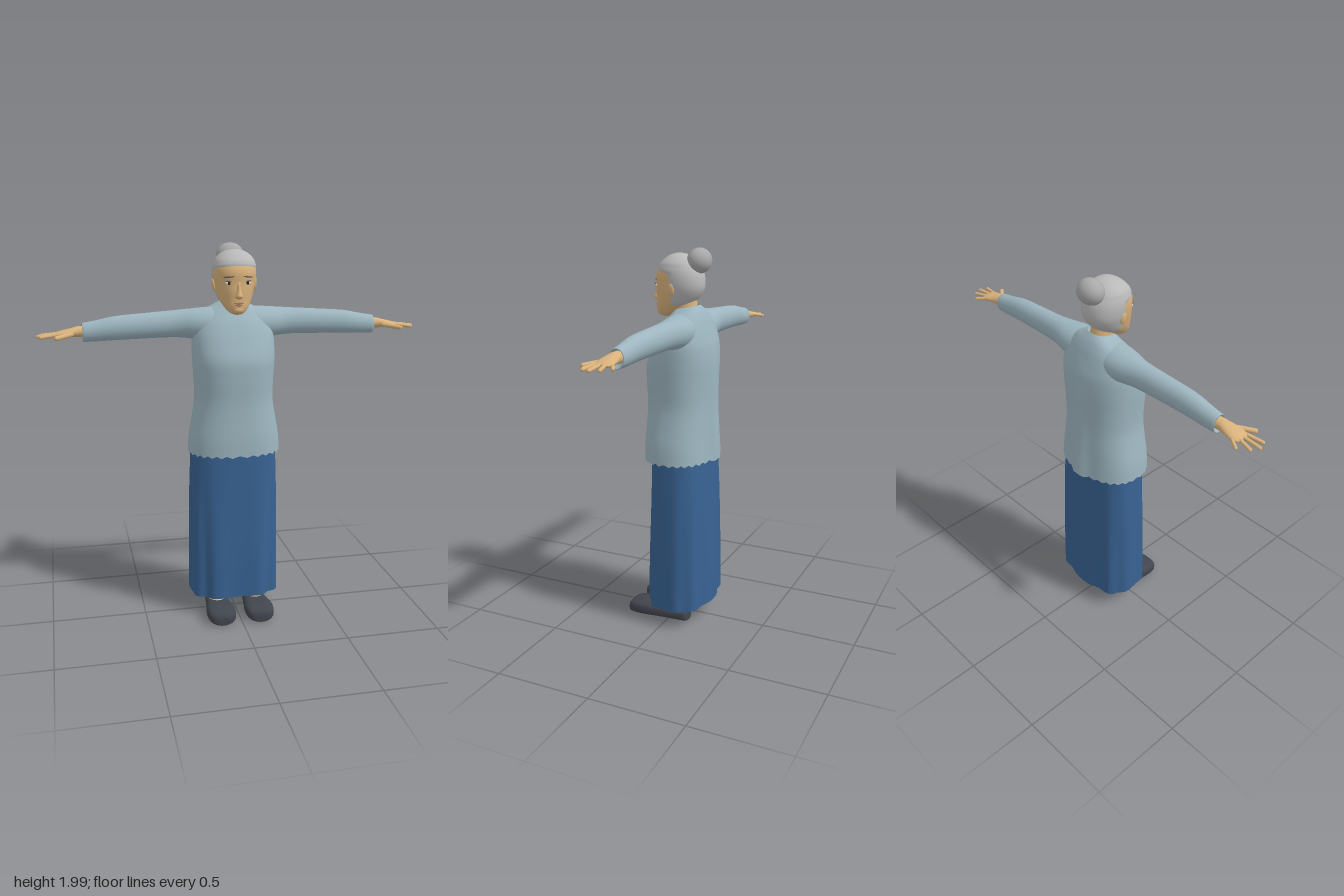
import * as THREE from 'three';

const paint = (color) => new THREE.MeshStandardMaterial({ color, side: THREE.DoubleSide });
const skin = paint(0xd9b27c), knit = paint(0x9db5bf), denim = paint(0x386292), inside = paint(0x1d2226);
const hairGrey = paint(0xb9b9b9), leather = paint(0x41454d), white = paint(0xd8d4cc), dark = paint(0x2b2622);
const lipTone = paint(0xb07a5c), browTone = paint(0x77685a), bunGrey = paint(0xa9a9a9);

// signed power, for superellipse cross-sections
const sp = (v, e) => Math.sign(v) * Math.abs(v) ** e;
const clamp = THREE.MathUtils.clamp;

// Catmull-Rom resampling of rows of numbers
function refine(rows, k) {
  const out = [], at = (i) => rows[clamp(i, 0, rows.length - 1)];
  for (let i = 0; i < rows.length - 1; i++) for (let s = 0; s < k; s++) {
    const t = s / k;
    out.push(at(i).map((p1, c) => {
      const p0 = at(i - 1)[c], p2 = at(i + 1)[c], p3 = at(i + 2)[c];
      return p1 + 0.5 * t * (p2 - p0 + t * (2 * p0 - 5 * p1 + 4 * p2 - p3 + t * (3 * (p1 - p2) + p3 - p0)));
    }));
  }
  out.push(at(rows.length - 1));
  return out;
}

// skin of closed rings; point(row, angle) gives a vertex, cap closes both ends
function loft(rows, n, point, { cap = false, flip = false } = {}) {
  const pos = [], idx = [];
  const tri = (a, b, c) => (flip ? idx.push(a, b, c) : idx.push(a, c, b));
  rows.forEach((r) => { for (let j = 0; j < n; j++) pos.push(...point(r, (j / n) * Math.PI * 2)); });
  for (let i = 0; i < rows.length - 1; i++) for (let j = 0; j < n; j++) {
    const a = i * n + j, b = i * n + ((j + 1) % n);
    tri(a, b, a + n);
    tri(b, b + n, a + n);
  }
  if (cap) [0, rows.length - 1].forEach((i) => {
    const mid = [0, 0, 0], id = pos.length / 3;
    for (let j = 0; j < n; j++) for (let c = 0; c < 3; c++) mid[c] += pos[(i * n + j) * 3 + c] / n;
    pos.push(...mid);
    for (let j = 0; j < n; j++) {
      const a = i * n + j, b = i * n + ((j + 1) % n);
      if (i) tri(a, b, id); else tri(b, a, id);
    }
  });
  const g = new THREE.BufferGeometry();
  g.setAttribute('position', new THREE.Float32BufferAttribute(pos, 3));
  g.setIndex(idx);
  g.computeVertexNormals();
  return g;
}

// horizontal ring from [y, half width, front z, back z]
const ring = (e) => ([y, rx, zf, zb], a) =>
  [rx * sp(Math.cos(a), e), y, (zf + zb) / 2 + ((zf - zb) / 2) * sp(Math.sin(a), e)];

export function createModel() {
  const model = new THREE.Group();
  const add = (name, geo, mat, parent = model) => {
    const m = new THREE.Mesh(geo, mat);
    m.name = name;
    parent.add(m);
    return m;
  };
  const blob = (name, mat, p, r, parent) => {
    const m = add(name, new THREE.SphereGeometry(1, 24, 16), mat, parent);
    m.position.set(...p);
    m.scale.set(...r);
    return m;
  };

  // sweater body: scalloped hem, and a hanging ridge down the middle of the back
  const body = refine([
    [0.91, 0.245, 0.15, -0.205], [1.0, 0.238, 0.15, -0.2], [1.1, 0.22, 0.145, -0.197],
    [1.2, 0.206, 0.142, -0.195], [1.32, 0.21, 0.147, -0.197], [1.41, 0.215, 0.145, -0.2],
    [1.5, 0.215, 0.112, -0.195], [1.56, 0.205, 0.085, -0.18], [1.61, 0.18, 0.058, -0.163],
    [1.65, 0.135, 0.03, -0.14], [1.672, 0.09, 0.015, -0.122], [1.685, 0.062, 0.008, -0.11],
  ], 4);
  const bodyRing = ring(0.84);
  add('sweaterBody', loft(body, 112, (r, a) => {
    const [x, y, z] = bodyRing(r, a), low = clamp((1.6 - y) / 0.6, 0, 1);
    const ridge = Math.sin(a) < 0 ? Math.exp(-((x / 0.05) ** 2)) * 0.028 * low : 0;
    const hem = y < 0.912 ? 0.006 * Math.cos(a * 28) : 0;
    const lift = y > 1.6 ? -z * ((y - 1.6) / 0.085) * 0.18 : 0;
    return [x, y + hem + lift, z - ridge];
  }), knit);

  // skirt with soft pleats, closed underneath by a dark lining
  const skirtRing = ring(0.72);
  const skirtPoint = (r, a) => {
    const [x, y, z] = skirtRing(r, a), low = clamp((0.95 - y) / 0.85, 0, 1);
    const k = 1 - low * (0.045 + 0.045 * Math.sin(a * 9 + 0.6 * Math.sin(a * 2)));
    return [x * (Math.abs(x) > 0.2 ? 1 - (1 - k) * 0.4 : k), y, -0.04 + (z + 0.04) * k];
  };
  const skirt = refine([
    [0.1, 0.245, 0.13, -0.21], [0.35, 0.243, 0.125, -0.205], [0.65, 0.238, 0.112, -0.195], [0.97, 0.225, 0.1, -0.18],
  ], 5);
  add('skirt', loft(skirt, 108, skirtPoint), denim);
  add('skirtLining', loft([[0.102, 0.243, 0.128, -0.208], [0.11, 0.24, 0.125, -0.2]], 108, skirtPoint, { cap: true }), inside);

  // head and neck
  const headGroup = new THREE.Group();
  headGroup.name = 'head';
  model.add(headGroup);
  const head = refine([
    [1.643, 0.022, 0.095, 0.045], [1.658, 0.045, 0.11, 0.015], [1.685, 0.066, 0.115, -0.035],
    [1.72, 0.084, 0.114, -0.085], [1.76, 0.097, 0.115, -0.117], [1.8, 0.107, 0.113, -0.13],
    [1.85, 0.11, 0.114, -0.126], [1.89, 0.103, 0.1, -0.11], [1.92, 0.086, 0.076, -0.086],
    [1.945, 0.055, 0.045, -0.055], [1.957, 0.015, 0.01, -0.015],
  ], 5);
  const headRing = ring(0.93);
  add('face', loft(head, 56, headRing, { cap: true }), skin, headGroup);
  // hair: the head shape, raised above the hairline and sunk below it
  add('hair', loft(head, 96, (r, a) => {
    const [x, y, z] = headRing(r, a);
    const line = Math.min(Math.max(y - 1.885 + (0.1 - z) * 0.25, 0.005 - z), y - 1.705);
    const d = clamp(line * 0.5, -0.012, 0.005), k = 1 + d / 0.11;
    return [x * k, y + (y > 1.9 ? d * 0.8 : 0), z * k];
  }, { cap: true }), hairGrey, headGroup);
  blob('hairBun', bunGrey, [0, 1.925, -0.113], [0.073, 0.064, 0.062], headGroup);
  add('neck', loft([
    [1.6, 0.07, 0.01, -0.12], [1.66, 0.06, 0.012, -0.11], [1.7, 0.056, 0.03, -0.1], [1.75, 0.056, 0.04, -0.095],
  ], 32, ring(1)), skin, headGroup);

  // nose and mouth
  add('nose', loft(refine([
    [1.722, 0.008, 0.122, 0.09], [1.731, 0.02, 0.138, 0.09], [1.742, 0.018, 0.142, 0.09],
    [1.765, 0.011, 0.13, 0.09], [1.805, 0.009, 0.118, 0.09],
  ], 3), 20, ring(1), { cap: true }), skin, headGroup);
  blob('upperLip', lipTone, [0, 1.702, 0.112], [0.026, 0.0045, 0.009], headGroup);
  blob('lowerLip', lipTone, [0, 1.692, 0.11], [0.022, 0.005, 0.01], headGroup);
  blob('chin', skin, [0, 1.668, 0.097], [0.03, 0.02, 0.02], headGroup);

  for (const s of [1, -1]) {
    const side = s > 0 ? 'left' : 'right', flip = s < 0;

    // eye, brow and ear
    blob(side + 'Eye', white, [s * 0.047, 1.801, 0.096], [0.02, 0.01, 0.011], headGroup);
    blob(side + 'Iris', dark, [s * 0.047, 1.801, 0.102], [0.0085, 0.009, 0.007], headGroup);
    blob(side + 'UpperLid', browTone, [s * 0.047, 1.811, 0.098], [0.023, 0.0035, 0.011], headGroup);
    const brow = blob(side + 'Brow', browTone, [s * 0.048, 1.832, 0.1], [0.029, 0.005, 0.008], headGroup);
    brow.rotation.set(0, s * 0.4, -s * 0.1);
    const ear = blob(side + 'Ear', skin, [s * 0.108, 1.785, -0.005], [0.008, 0.032, 0.018], headGroup);
    ear.rotation.z = -s * 0.15;

    // sleeve: [x, top, bottom, front z, back z], turned in at the cuff
    const across = ([x, top, bottom, zf, zb], a) =>
      [s * x, (top + bottom) / 2 + ((top - bottom) / 2) * Math.sin(a), (zf + zb) / 2 + ((zf - zb) / 2) * Math.cos(a)];
    const sleeve = refine([
      [0.05, 1.672, 1.5, 0.03, -0.14], [0.12, 1.669, 1.49, 0.04, -0.15], [0.2, 1.663, 1.505, 0.025, -0.145],
      [0.3, 1.655, 1.516, -0.002, -0.125], [0.45, 1.645, 1.515, -0.005, -0.115], [0.6, 1.634, 1.512, -0.006, -0.108],
      [0.7, 1.615, 1.508, -0.014, -0.104], [0.77, 1.603, 1.507, -0.02, -0.1],
    ], 4);
    sleeve.push([0.771, 1.598, 1.513, -0.025, -0.095], [0.75, 1.592, 1.522, -0.03, -0.09]);
    add(side + 'Sleeve', loft(sleeve, 36, across, { cap: true, flip }), knit);

    // palm with spread fingers
    const hand = new THREE.Group();
    hand.name = side + 'Hand';
    model.add(hand);
    add('palm', loft(refine([
      [0.74, 1.588, 1.532, -0.027, -0.093], [0.79, 1.588, 1.533, -0.028, -0.092], [0.83, 1.578, 1.535, -0.018, -0.1],
      [0.87, 1.569, 1.536, -0.015, -0.107], [0.9, 1.56, 1.538, -0.022, -0.1], [0.908, 1.554, 1.543, -0.035, -0.088],
    ], 3), 24, across, { cap: true, flip }), skin, hand);
    const fingers = [
      ['thumb', 0.82, -0.03, 0.905, 0.032, 0.012], ['indexFinger', 0.885, -0.031, 0.98, -0.012, 0.0095],
      ['middleFinger', 0.89, -0.053, 0.995, -0.052, 0.0095], ['ringFinger', 0.885, -0.075, 0.975, -0.094, 0.009],
      ['littleFinger', 0.865, -0.094, 0.925, -0.13, 0.008],
    ];
    for (const [name, x0, z0, x1, z1, r] of fingers) {
      const from = new THREE.Vector3(s * x0, 1.552, z0), to = new THREE.Vector3(s * x1, 1.541, z1);
      const dir = to.clone().sub(from), f = add(name, new THREE.CapsuleGeometry(r, dir.length() - r, 5, 12), skin, hand);
      f.position.copy(from).lerp(to, 0.5);
      f.quaternion.setFromUnitVectors(new THREE.Vector3(0, 1, 0), dir.normalize());
    }

    // ankle, instep and shoe: [z, half width, height]
    add(side + 'Ankle', loft([[0.04, 0.04, 0.04, -0.08], [0.1, 0.036, 0.02, -0.07], [0.3, 0.045, 0.03, -0.08]], 24,
      (r, a) => { const p = ring(1)(r, a); return [p[0] + s * 0.105, p[1], p[2]]; }), skin);
    blob(side + 'Instep', skin, [s * 0.105, 0.055, 0.03], [0.046, 0.04, 0.07]);
    const shoe = refine([
      [-0.108, 0.03, 0.05], [-0.095, 0.047, 0.063], [-0.03, 0.054, 0.062], [0.05, 0.064, 0.073],
      [0.14, 0.077, 0.079], [0.2, 0.073, 0.073], [0.228, 0.056, 0.06], [0.238, 0.03, 0.042],
    ], 4);
    add(side + 'Shoe', loft(shoe, 36, ([z, rx, h], a) =>
      [s * (0.105 + rx * sp(Math.cos(a), 0.65)), (h / 2) * (1 - sp(Math.sin(a), 0.65)), z], { cap: true, flip }), leather);
  }
  return model;
}
